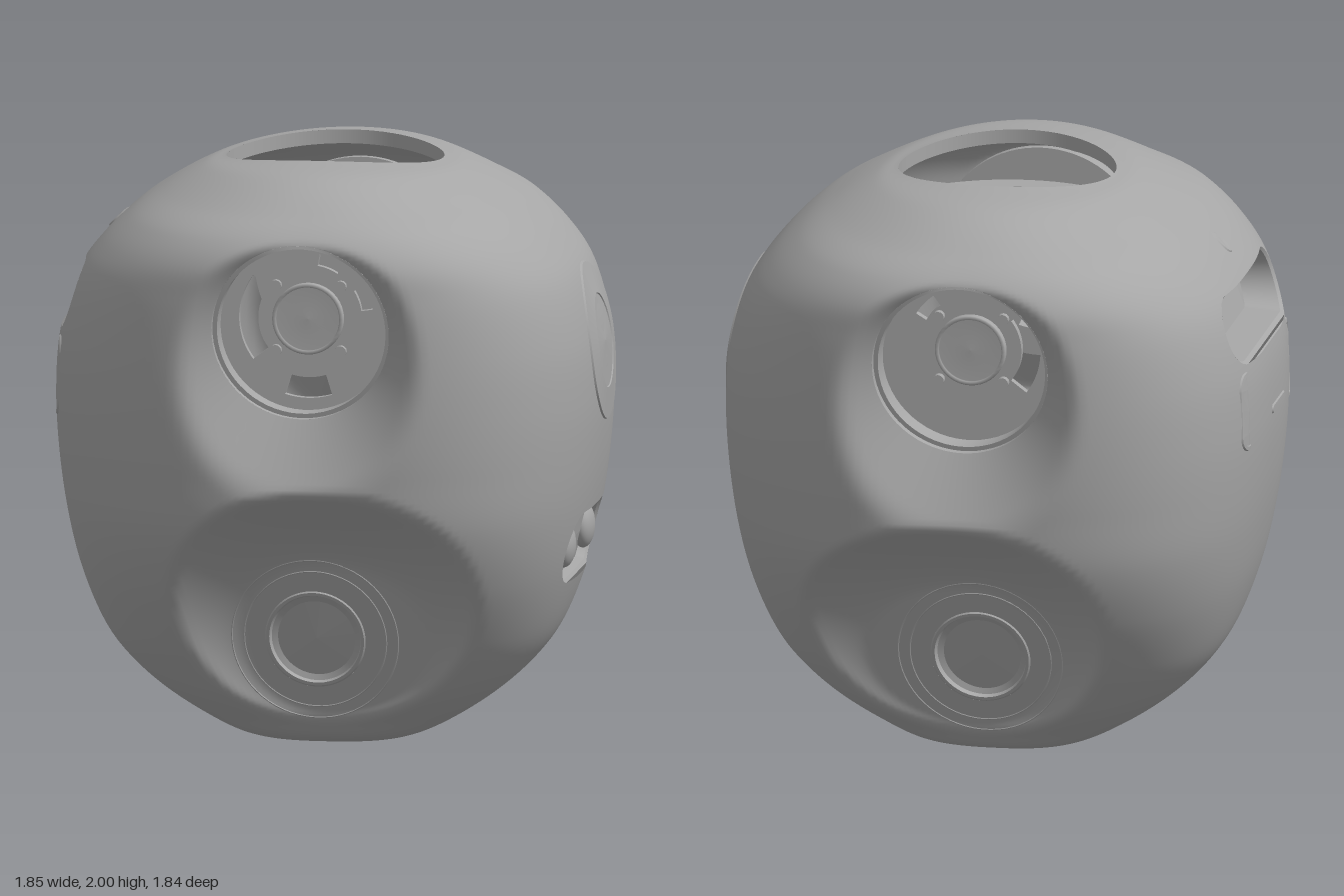
import * as THREE from 'three';

const ROWS = 170, COLS = 220;
const { clamp, smoothstep } = THREE.MathUtils;

// Vertical profile: half width, height, half depth
const rows = new THREE.CatmullRomCurve3([
  [0, 0, 0], [0.18, 0.006, 0.16], [0.32, 0.04, 0.31], [0.44, 0.1, 0.38], [0.585, 0.2, 0.49],
  [0.69, 0.3, 0.575], [0.76, 0.4, 0.66], [0.838, 0.6, 0.81], [0.883, 0.8, 0.905], [0.91, 1.0, 0.935], [0.92, 1.2, 0.95],
  [0.905, 1.4, 0.955], [0.845, 1.6, 0.955], [0.765, 1.71, 0.95], [0.67, 1.8, 0.9], [0.555, 1.88, 0.785],
  [0.44, 1.943, 0.6], [0.365, 1.967, 0.365],
].map((p) => new THREE.Vector3(...p)), false, 'centripetal').getSpacedPoints(ROWS);

const roundness = (y) => 2.6 - 0.6 * smoothstep(y, 1.8, 1.967);
const lift = (y) => 0.033 * smoothstep(y, 1.86, 1.967);

function profileAt(y) {
  let i = 1;
  while (i < ROWS && rows[i].y < y) i++;
  const a = rows[i - 1], b = rows[i];
  return a.clone().lerp(b, clamp((y - a.y) / (b.y - a.y || 1), 0, 1));
}

function softMin(a, b, k) {
  const h = Math.max(k - Math.abs(a - b), 0) / k;
  return Math.min(a, b) - h * h * k * 0.25;
}

// Upper horn flare and lower tilted dish (wider to the left), pressed into the front and back
function carve(x, y, depth) {
  const horn = 0.86 + 0.17 * (y - 1.49) + 0.6 * Math.max(0, Math.hypot(x, y - 1.49) - 0.3);
  const dx = (x - 0.03) * (x > 0.03 ? 0.74 : 0.95);
  const r = Math.max(0, Math.hypot(dx, y - 0.4) - 0.26);
  const dish = 0.487 + 0.36 * (y - 0.4) + 1.55 * r ** 1.5;
  return softMin(softMin(depth, horn, 0.03), dish, 0.03);
}

// Point on the skin for side coordinates u (across) and v (height)
function skin({ axis, sign }, u, v, inset = 0) {
  const p = profileAt(v), n = roundness(v);
  const [across, out] = axis === 'z' ? [p.x, p.z] : [p.z, p.x];
  let d = out * Math.max(0, 1 - (Math.abs(u) / across) ** n) ** (1 / n);
  if (axis === 'z') d = carve(u, v, d);
  d = sign * (d - inset);
  return axis === 'z' ? [u, v, d] : [d, v, u];
}

// Round, pill-shaped or rounded-rectangle spots on the skin
const spot = (axis, sign, u, v, R, half = 0, rise = 0) => ({ axis, sign, u, v, R, half, rise });
const hornHoles = [1, -1].map((s) => spot('z', s, 0, 1.49, 0.3));
const driverHoles = [1, -1].map((s) => spot('z', s, 0, 0.4, 0.17));
const controlSlot = spot('x', 1, 0, 0.69, 0.12, 0.23);
const handlePocket = spot('x', -1, 0, 1.53, 0.115, 0.315);
const holes = [...hornHoles, ...driverHoles, controlSlot, handlePocket];

function buildBody() {
  const pos = [], index = [], inside = [];
  for (let i = 0; i <= ROWS; i++) {
    for (let j = 0; j < COLS; j++) {
      const a = (j / COLS) * Math.PI * 2, c = Math.cos(a), s = Math.sin(a);
      const p = rows[i], n = roundness(p.y);
      const r = (Math.abs(c) ** n + Math.abs(s) ** n) ** (-1 / n);
      const y = p.y + lift(p.y) * s * s;
      const x = p.x * r * c, z0 = p.z * r * s;
      const z = p.y < 1.9 ? Math.sign(z0) * carve(x, y, Math.abs(z0)) : z0;
      let point = [x, y, z], found = -1;
      // points within an opening are moved out to its rim
      holes.forEach((h, k) => {
        const [u, out] = h.axis === 'z' ? [x, z] : [z, x];
        if (out * h.sign < 0.3) return;
        const su = h.u + clamp(u - h.u, -h.half, h.half);
        const du = u - su, dv = y - h.v, d = Math.hypot(du, dv);
        if (d >= h.R) return;
        found = k;
        const f = d > 1e-6 ? h.R / d : 0;
        point = skin(h, su + du * f, h.v + dv * f);
      });
      pos.push(...point);
      inside.push(found);
    }
  }
  const tri = (a, b, c) => {
    if (inside[a] < 0 || inside[b] < 0 || inside[c] < 0) index.push(a, b, c);
  };
  for (let i = 0; i < ROWS; i++) {
    for (let j = 0; j < COLS; j++) {
      const a = i * COLS + j, b = i * COLS + ((j + 1) % COLS);
      tri(a, a + COLS, b);
      tri(b, a + COLS, b + COLS);
    }
  }
  return finish(pos, index);
}

function finish(pos, index) {
  const g = new THREE.BufferGeometry();
  g.setAttribute('position', new THREE.Float32BufferAttribute(pos, 3));
  g.setIndex(index);
  g.computeVertexNormals();
  return g;
}

// Bands following the skin around a spot; profile holds [radius, inset] pairs
function fitting(h, profile) {
  const N = 64, pos = [], index = [];
  for (let k = 0; k + 1 < profile.length; k++) {
    const base = pos.length / 3;
    for (const [r, inset] of [profile[k], profile[k + 1]]) {
      for (let j = 0; j < N; j++) {
        const a = ((j + 0.5) / N) * Math.PI * 2, c = Math.cos(a), s = Math.sin(a);
        pos.push(...skin(h, h.u + Math.sign(c) * h.half + r * c, h.v + Math.sign(s) * h.rise + r * s, inset));
      }
    }
    for (let j = 0; j < N; j++) {
      const a = base + j, b = base + ((j + 1) % N);
      const flip = (h.axis === 'z') === (h.sign > 0);
      if (flip) index.push(a, b, a + N, b, b + N, a + N);
      else index.push(a, a + N, b, b, a + N, b + N);
    }
  }
  return finish(pos, index);
}

// Driver basket facing +z: plate with fan windows [middle, half angle, inner, outer], hub and bolts
function buildBasket(R, windows, material) {
  const g = new THREE.Group();
  const plate = new THREE.Shape().absarc(0, 0, R, 0, Math.PI * 2);
  for (const [mid, spread, r0, r1] of windows) {
    const w = new THREE.Path();
    w.absarc(0, 0, r1, mid - spread, mid + spread, false);
    w.absarc(0, 0, r0, mid + spread, mid - spread, true);
    w.closePath();
    plate.holes.push(w);
  }
  const add = (name, geo, x = 0, y = 0) => {
    const m = new THREE.Mesh(geo, material);
    m.name = name;
    m.position.set(x, y, 0);
    g.add(m);
  };
  add('basketPlate', new THREE.ExtrudeGeometry(plate, { depth: 0.03, bevelEnabled: false, curveSegments: 40 }));
  const hub = [[0.12, 0.02], [0.12, 0.055], [0.107, 0.055], [0.107, 0.045], [0, 0.05]];
  add('hub', new THREE.LatheGeometry(hub.map((p) => new THREE.Vector2(...p)), 40).rotateX(Math.PI / 2));
  for (let i = 0; i < 4; i++) {
    const a = Math.PI / 4 + (i * Math.PI) / 2;
    add('bolt', new THREE.CylinderGeometry(0.02, 0.02, 0.05, 12).rotateX(Math.PI / 2).translate(0, 0, 0.03),
      0.155 * Math.cos(a), 0.155 * Math.sin(a));
  }
  return g;
}

export function createModel() {
  const model = new THREE.Group();
  const grey = new THREE.MeshStandardMaterial({ color: 0xa6a6a6, side: THREE.DoubleSide });
  grey.name = 'grey';
  const add = (name, geo) => {
    const m = new THREE.Mesh(geo, grey);
    m.name = name;
    model.add(m);
    return m;
  };
  add('body', buildBody());

  // Upper horns and lower drivers, front and back
  const frontWindows = [[Math.PI, 0.65, 0.17, 0.235], [-Math.PI / 2, 0.3, 0.2, 0.27], [0.35, 0.2, 0.18, 0.22], [1.2, 0.2, 0.18, 0.22]];
  const backWindows = [[0, 0.65, 0.17, 0.235], [2.4, 0.2, 0.18, 0.22]];
  for (const h of hornHoles) {
    add('hornThroat', fitting(h, [[0.3, 0], [0.3, 0.03], [0.285, 0.03], [0.285, 0.12]]));
    const basket = buildBasket(0.36, h.sign > 0 ? frontWindows : backWindows, grey);
    basket.name = 'hornBasket';
    basket.position.set(0, 1.51, h.sign * 0.62);
    if (h.sign < 0) basket.rotation.y = Math.PI;
    model.add(basket);
  }
  for (const h of driverHoles) {
    add('driver', fitting(h, [[0.17, 0], [0.165, -0.006], [0.155, -0.006], [0.15, 0.02], [0.13, 0.03], [0, 0.025]]));
    for (const r of [0.24, 0.28]) add('dishRing', fitting(h, [[r - 0.003, 0], [r, -0.002], [r + 0.003, 0]]));
  }

  // Top opening with a short lip and its basket
  const lip = new THREE.CylinderGeometry(0.365, 0.365, 0.047, 96, 1, true).translate(0, 1.9435, 0);
  const lp = lip.attributes.position;
  for (let i = 0; i < lp.count; i++) lp.setY(i, lp.getY(i) + 0.033 * (lp.getZ(i) / 0.365) ** 2);
  add('topLip', lip);
  const topBasket = buildBasket(0.46, [
    [-Math.PI / 2, 0.9, 0.135, 0.22], [-Math.PI / 2, 0.75, 0.26, 0.31], [-Math.PI / 2, 0.4, 0.33, 0.37],
    [1.15, 0.3, 0.175, 0.25], [2.0, 0.3, 0.175, 0.25], [Math.PI / 2, 0.65, 0.28, 0.31], [Math.PI / 2, 0.35, 0.33, 0.37],
  ], grey);
  topBasket.name = 'topBasket';
  topBasket.rotation.x = -Math.PI / 2;
  topBasket.position.y = 1.77;
  model.add(topBasket);
  for (const s of [1, -1]) {
    add('topBar', new THREE.BoxGeometry(0.015, 0.05, 0.46)).position.set(s * 0.3, 1.81, 0);
  }

  // Round badge and control slot on the left side
  add('sideDisc', fitting(spot('x', 1, 0, 1.36, 0.265),
    [[0.265, 0], [0.262, -0.006], [0.158, -0.006], [0.155, -0.002], [0, -0.002]]));
  add('controlSlot', fitting(controlSlot, [[0.12, 0], [0.108, 0.012], [0.1, 0.045], [0, 0.045]]));
  for (const z of [0.23, -0.23]) {
    const knob = add('knob', new THREE.SphereGeometry(0.078, 32, 20));
    knob.position.set(skin(controlSlot, z, 0.69)[0] - 0.045, 0.7, z);
    knob.scale.x = 0.5;
  }

  // Handle pocket, cover panel and small button on the right side
  add('handlePocket', fitting(handlePocket, [[0.115, 0], [0.105, 0.012], [0.095, 0.13], [0, 0.14]]));
  add('handlePanel', fitting(spot('x', -1, 0, 1.26, 0.06, 0.36, 0.075),
    [[0.06, 0], [0.057, -0.005], [0.045, -0.005], [0.042, -0.002], [0, -0.002]]));
  add('panelCentre', fitting(spot('x', -1, 0, 1.26, 0.075, 0.36), [[0.076, -0.002], [0, -0.002]]));
  add('panelSlot', fitting(spot('x', -1, 0, 1.2, 0.012, 0.09), [[0.016, -0.002], [0.012, -0.007], [0, -0.007]]));
  add('button', fitting(spot('x', -1, 0, 1.745, 0.03), [[0.033, 0], [0.028, -0.006], [0.018, -0.006], [0, -0.003]]));
  return model;
}
